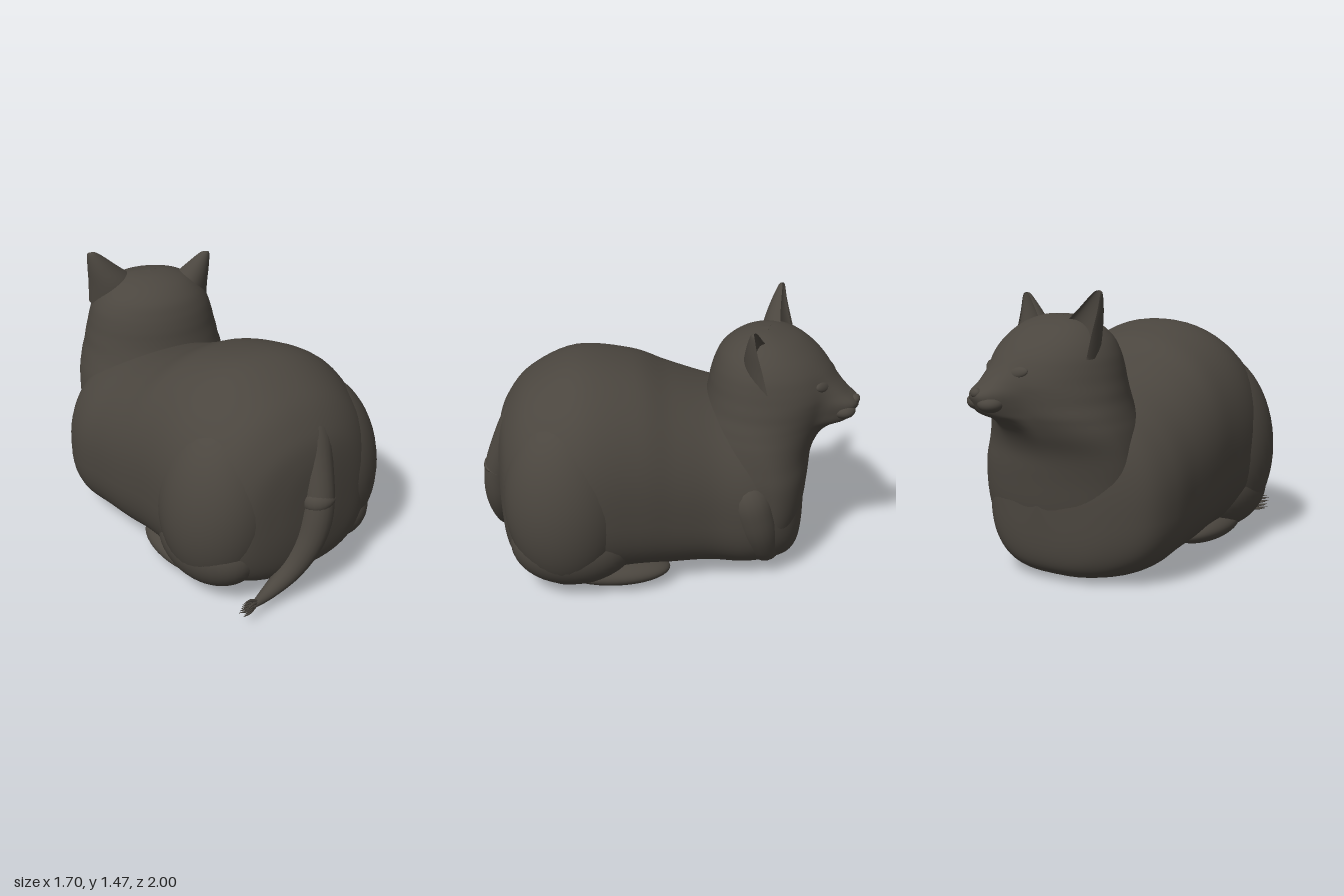
import * as THREE from 'three';

const fur = new THREE.MeshStandardMaterial({ color: 0x4b463f });
fur.name = 'dark brown fur';

// Skin of rings: at(t, a) gives a point for t in 0..1 and angle a
function skin(rows, cols, at) {
  const pos = [], idx = [];
  for (let i = 0; i <= rows; i++)
    for (let j = 0; j < cols; j++) pos.push(...at(i / rows, (j / cols) * Math.PI * 2));
  for (let i = 0; i < rows; i++)
    for (let j = 0; j < cols; j++) {
      const a = i * cols + j, b = i * cols + ((j + 1) % cols);
      idx.push(a, b, a + cols, b, b + cols, a + cols);
    }
  const g = new THREE.BufferGeometry();
  g.setAttribute('position', new THREE.Float32BufferAttribute(pos, 3));
  g.setIndex(idx);
  g.computeVertexNormals();
  return g;
}

// Smooth interpolation between section rows
function smooth(rows) {
  const n = rows[0].length;
  const f = new THREE.CubicInterpolant(rows.map((_, i) => i), rows.flat(), n, new Float32Array(n));
  return t => f.evaluate(t * (rows.length - 1));
}

const power = (v, n) => Math.sign(v) * Math.abs(v) ** (2 / n);

// Tube of changing radius along a path
function limb(points, radii, cols = 20) {
  const rows = 28;
  const curve = new THREE.CatmullRomCurve3(points.map(p => new THREE.Vector3(...p)));
  const frames = curve.computeFrenetFrames(rows);
  const radius = smooth(radii.map(r => [r]));
  return skin(rows, cols, (t, a) => {
    const i = Math.round(t * rows), r = Math.max(radius(t)[0], 0);
    return curve.getPointAt(t)
      .addScaledVector(frames.normals[i], Math.cos(a) * r)
      .addScaledVector(frames.binormals[i], Math.sin(a) * r).toArray();
  });
}

function add(parent, name, geometry) {
  const m = new THREE.Mesh(geometry, fur);
  m.name = name;
  parent.add(m);
  return m;
}

function blob(parent, name, p, s) {
  const m = add(parent, name, new THREE.SphereGeometry(1, 40, 28));
  m.position.set(...p);
  m.scale.set(...s);
  return m;
}

export function createModel() {
  const model = new THREE.Group();
  model.name = 'crouchingCat';
  const cat = new THREE.Group();
  cat.name = 'cat';
  cat.rotation.y = THREE.MathUtils.degToRad(215);
  model.add(cat);

  // Torso: z, centre x, half width, bottom, top
  const torso = smooth([
    [-0.84, 0.02, 0, 0.58, 0.58],
    [-0.83, 0.02, 0.2, 0.32, 0.8],
    [-0.78, 0.02, 0.4, 0.13, 0.95],
    [-0.65, 0.02, 0.53, 0.06, 1.1],
    [-0.4, 0.02, 0.6, 0.04, 1.21],
    [-0.1, 0.05, 0.58, 0.04, 1.17],
    [0.1, 0.08, 0.56, 0.03, 1.08],
    [0.3, 0.1, 0.54, 0.02, 1.0],
    [0.5, 0.1, 0.535, 0, 0.94],
    [0.66, 0.09, 0.485, 0.01, 0.89],
    [0.77, 0.06, 0.36, 0.04, 0.8],
    [0.83, 0.04, 0.19, 0.14, 0.64],
    [0.85, 0.03, 0, 0.4, 0.4],
  ]);
  add(cat, 'torso', skin(72, 64, (t, a) => {
    const [z, cx, w, lo, hi] = torso(t);
    const s = Math.sin(a), n = s > 0 ? 2.2 : 2.8, mid = lo + (hi - lo) * 0.45;
    return [cx + w * power(Math.cos(a), n), mid + power(s, n) * (s > 0 ? hi - mid : mid - lo), z];
  }));

  // Haunches, hind feet and forelegs
  for (const [side, name] of [[1, 'left'], [-1, 'right']]) {
    const haunch = blob(cat, name + 'Haunch', [0.015 + side * 0.33, 0.53, -0.47], [0.31, 0.5, 0.335]);
    haunch.rotation.z = side * 0.08;
    blob(cat, name + 'Thigh', [0.02 + side * 0.36, 0.28, -0.44], [0.24, 0.24, 0.34]);
    blob(cat, name + 'HindFoot', [0.03 + side * 0.38, 0.1, -0.22], [0.14, 0.075, 0.3]);
    const x = s => 0.08 + side * s;
    add(cat, name + 'Foreleg', limb(
      [[x(0.36), 0.66, 0.44], [x(0.42), 0.5, 0.5], [x(0.42), 0.32, 0.55], [x(0.36), 0.17, 0.6], [x(0.28), 0.1, 0.66], [x(0.22), 0.09, 0.72]],
      [0, 0.11, 0.115, 0.1, 0.075, 0]));
  }

  // Tail hanging from the rump and curling to the side
  add(cat, 'tail', limb(
    [[-0.05, 1.04, -0.52], [-0.05, 0.87, -0.7], [-0.03, 0.7, -0.79], [-0.01, 0.54, -0.84], [0.03, 0.36, -0.84],
      [0.13, 0.19, -0.82], [0.27, 0.09, -0.81], [0.42, 0.08, -0.85]],
    [0.05, 0.11, 0.095, 0.085, 0.085, 0.07, 0.045, 0.012]));
  add(cat, 'tailCuff', limb(
    [[-0.02, 0.6, -0.825], [-0.01, 0.57, -0.835], [-0.01, 0.54, -0.84]], [0.07, 0.091, 0.08]));
  for (let i = 0; i < 9; i++) {
    const y = 0.05 + (i % 5) * 0.018, k = i / 8;
    add(cat, 'tailHair', limb(
      [[0.36, 0.08, -0.835], [0.42, y, -0.83 - k * 0.03], [0.48, y + 0.01, -0.83 - k * 0.06]],
      [0.012, 0.008, 0.001], 5));
  }

  // Head and neck, turned a little to the cat's right
  const head = new THREE.Group();
  head.name = 'head';
  head.position.set(0.03, 0, 0.63);
  head.rotation.y = -0.38;
  cat.add(head);

  // y, back, front, half width, muzzle depth, twist back towards the chest
  const skull = smooth([
    [0.12, -0.3, 0.14, 0.36, 0, 0.38],
    [0.35, -0.4, 0.21, 0.43, 0, 0.38],
    [0.55, -0.42, 0.24, 0.45, 0, 0.34],
    [0.68, -0.41, 0.26, 0.44, 0, 0.24],
    [0.78, -0.39, 0.3, 0.425, 0.01, 0.12],
    [0.84, -0.37, 0.325, 0.41, 0.05, 0.05],
    [0.88, -0.355, 0.34, 0.4, 0.115, 0],
    [0.93, -0.34, 0.355, 0.385, 0.135, 0],
    [0.98, -0.325, 0.365, 0.375, 0.135, 0],
    [1.03, -0.315, 0.37, 0.362, 0.07, 0],
    [1.09, -0.305, 0.355, 0.348, 0.025, 0],
    [1.16, -0.285, 0.32, 0.325, 0.005, 0],
    [1.23, -0.25, 0.255, 0.28, 0, 0],
    [1.29, -0.18, 0.165, 0.21, 0, 0],
    [1.325, -0.09, 0.06, 0.11, 0, 0],
    [1.335, -0.02, -0.02, 0, 0, 0],
  ]);
  add(head, 'skullAndNeck', skin(80, 96, (t, a) => {
    const [y, back, front, w, muzzle, twist] = skull(t);
    const c = Math.cos(a), x = w * Math.sin(a);
    const z = c > 0 ? c * front + muzzle * Math.exp(-((x / 0.13) ** 4)) : -c * back;
    return [x * Math.cos(twist) + z * Math.sin(twist), y, z * Math.cos(twist) - x * Math.sin(twist)];
  }));

  // Face
  blob(head, 'nose', [0, 0.985, 0.485], [0.035, 0.025, 0.025]);
  for (const side of [1, -1]) {
    blob(head, 'whiskerPad', [side * 0.05, 0.935, 0.43], [0.07, 0.045, 0.068]);
    const eye = blob(head, 'eye', [side * 0.13, 1.085, 0.328], [0.056, 0.028, 0.018]);
    eye.rotation.set(-0.35, side * 0.4, side * 0.2, 'YXZ');

    // Ear: a pointed shell scooped out at the front
    const path = smooth([[0.17, 1.12, 0.02, 0.17], [0.205, 1.24, 0, 0.135], [0.265, 1.345, -0.01, 0.08], [0.315, 1.43, -0.01, 0.03], [0.322, 1.445, -0.01, 0]]);
    const ear = add(head, side > 0 ? 'leftEar' : 'rightEar', skin(24, 32, (t, a) => {
      const [x, y, z, r] = path(t);
      const c = Math.cos(a);
      return [side * x + r * Math.sin(a), y, z + r * 0.35 + (c > 0 ? -0.4 * c : 0.95 * c) * r];
    }));
    ear.position.y = side * 0.028;
  }
  return model;
}
